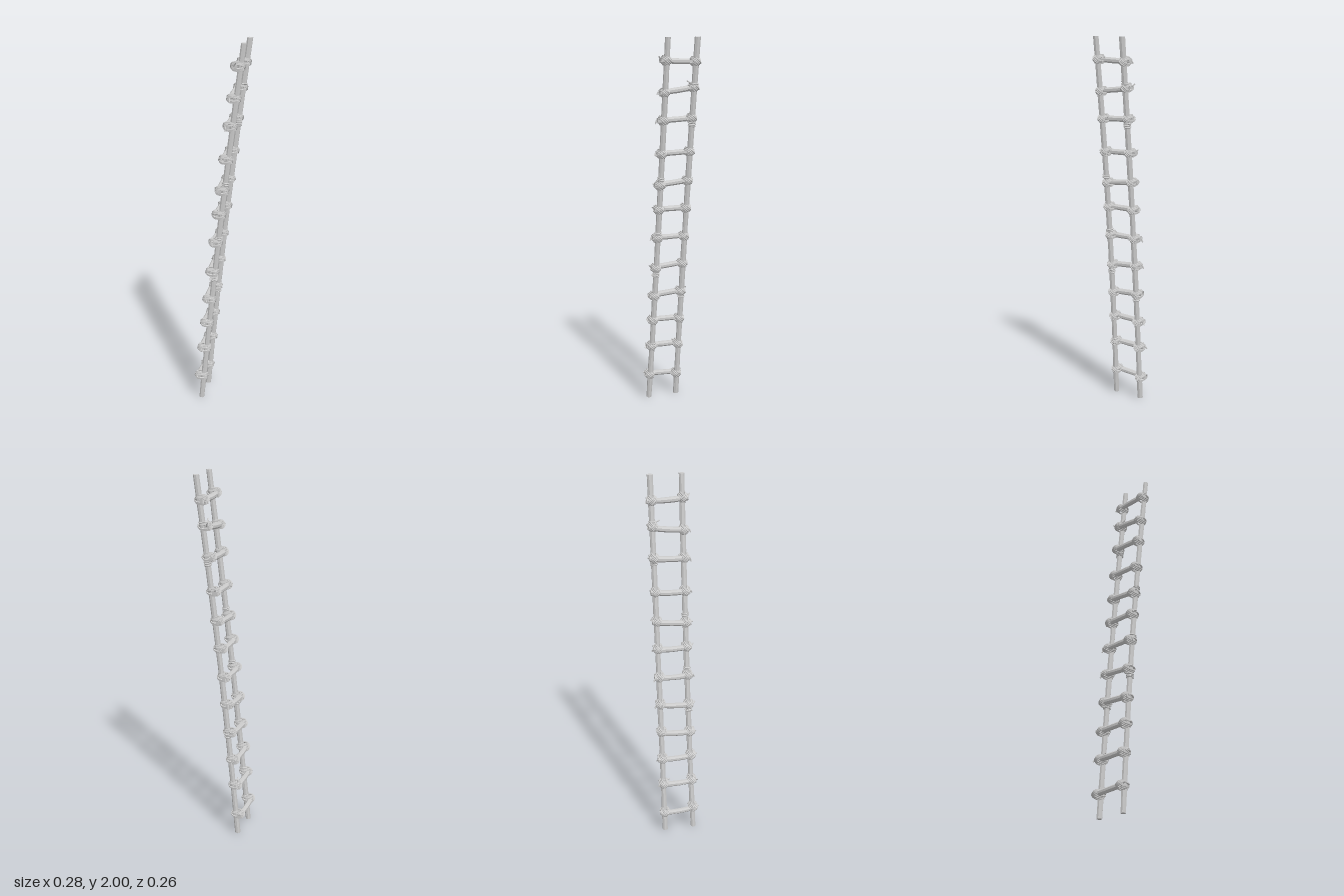
import * as THREE from 'three';

const mat = new THREE.MeshStandardMaterial({ color: 0xcccccc, flatShading: true, side: THREE.DoubleSide });

// Seeded wobble so that every pole and lashing is slightly irregular
let seed = 7;
const rnd = (a) => {
  seed = (seed * 16807) % 2147483647;
  return (seed / 2147483647 * 2 - 1) * a;
};

// Centre line of the leaning rails: x for both, z for the left (+1) and right (-1) one
const railX = (y) => -0.103 + 0.22 * (y / 2) - 0.012 * Math.sin(Math.PI * y / 2);
const railZ = (y, side) => {
  const t = y / 2;
  return side > 0 ? 0.069 + 0.03 * (1 - t) ** 2.2 : -0.064 - 0.029 * t;
};

function mesh(name, geometry) {
  const m = new THREE.Mesh(geometry, mat);
  m.name = name;
  return m;
}

// Rough eight-sided pole following path(t), t from 0 to 1, along the y or z axis
function pole(name, path, radius, segments, alongZ) {
  const g = new THREE.CylinderGeometry(1, 1, 1, 8, segments, false, Math.PI / 8);
  if (alongZ) g.rotateX(Math.PI / 2);
  const sizes = Array.from({ length: segments + 1 }, () => radius * (1 + rnd(0.07)));
  const p = g.attributes.position;
  for (let i = 0; i < p.count; i++) {
    const t = (alongZ ? p.getZ(i) : p.getY(i)) + 0.5;
    const c = path(t), r = sizes[Math.round(t * segments)];
    if (alongZ) p.setXYZ(i, c.x + p.getX(i) * r, c.y + p.getY(i) * r, c.z);
    else p.setXYZ(i, c.x + p.getX(i) * r, c.y, c.z + p.getZ(i) * r);
  }
  g.computeVertexNormals();
  return mesh(name, g);
}

function rope(name, points, radius, closed) {
  const curve = new THREE.CatmullRomCurve3(points, closed);
  return mesh(name, new THREE.TubeGeometry(curve, closed ? 20 : 5, radius, 5, closed));
}

// Crossed diagonal turns of rope binding a rung to a rail
function lashing(y, side) {
  const group = new THREE.Group();
  group.name = 'lashing';
  const cx = railX(y) - 0.014, cz = railZ(y, side);
  for (const slant of [-1, 1]) {
    for (const shift of [-0.0075, 0, 0.0075]) {
      const points = [], spread = 0.021 + rnd(0.0015);
      const half = 0.032 + rnd(0.0015) + (slant > 0 ? 0.002 : 0);
      for (let i = 0; i < 12; i++) {
        const a = i / 12 * Math.PI * 2;
        const c = Math.cos(a), s = Math.sin(a);
        const u = Math.sign(c) * Math.abs(c) ** 0.7 * half;
        const v = Math.sign(s) * Math.abs(s) ** 0.8 * spread;
        points.push(new THREE.Vector3(cx + u, y + (v + shift) * 0.75, cz + slant * (v - shift) * 0.8));
      }
      group.add(rope('diagonalTurn', points, 0.0045, true));
    }
  }
  // Loose end of the rope
  const end = new THREE.Vector3(cx - 0.012 + rnd(0.012), y + rnd(0.02), cz + side * 0.034);
  group.add(rope('ropeEnd', [
    new THREE.Vector3(cx - 0.01, y, cz + side * 0.014),
    new THREE.Vector3(cx - 0.016, y + 0.006, cz + side * 0.024), end], 0.0038, false));
  return group;
}

// Turns of rope round a rail alone
function railWrap(y, side, turns) {
  const group = new THREE.Group();
  group.name = 'railWrap';
  for (let i = 0; i < turns; i++) {
    const h = y + i * 0.009;
    const g = new THREE.TorusGeometry(0.017, 0.0042, 5, 10).rotateX(Math.PI / 2 + rnd(0.2)).rotateZ(-0.11);
    const m = mesh('wrapTurn', g);
    m.position.set(railX(h), h, railZ(h, side));
    group.add(m);
  }
  return group;
}

export function createModel() {
  const ladder = new THREE.Group();
  ladder.name = 'lashedLadder';

  // Two leaning rails
  for (const side of [1, -1]) {
    ladder.add(pole(side > 0 ? 'leftRail' : 'rightRail',
      (t) => new THREE.Vector3(railX(2 * t), 2 * t, railZ(2 * t, side)), 0.0148, 14, false));
  }

  // Rungs, each given by its height at the left and right rail
  const rungs = [[0.138, 0.122], [0.31, 0.304], [0.465, 0.458], [0.608, 0.62], [0.77, 0.784], [0.941, 0.939],
    [1.1, 1.098], [1.233, 1.25], [1.403, 1.407], [1.578, 1.585], [1.722, 1.745], [1.885, 1.877]];
  for (const [yl, yr] of rungs) {
    const y = (yl + yr) / 2;
    const z0 = railZ(y, -1) - 0.025 + rnd(0.004), z1 = railZ(y, 1) + 0.023 + rnd(0.004);
    ladder.add(pole('rung', (t) => new THREE.Vector3(
      railX(y) - 0.028 - 0.005 * Math.sin(Math.PI * t),
      yr + (yl - yr) * t - 0.003 * Math.sin(Math.PI * t),
      z0 + (z1 - z0) * t), 0.0148, 6, true));
    ladder.add(lashing(yl, 1), lashing(yr, -1));
  }

  // Extra rope turns above or below some joints
  for (const [y, side, turns] of [[1.265, 1, 2], [0.965, 1, 2], [0.725, 1, 3], [0.33, 1, 1],
    [1.545, -1, 3], [1.765, -1, 1], [0.59, -1, 1]]) {
    ladder.add(railWrap(y, side, turns));
  }

  // Long stray rope tails
  for (const [y, side, dz, dy] of [[1.765, -1, 0.035, 0.012], [0.735, 1, 0.02, -0.008], [0.32, -1, 0.035, 0.01]]) {
    const x = railX(y), z = railZ(y, side);
    ladder.add(rope('strayTail', [
      new THREE.Vector3(x - 0.016, y, z - 0.01),
      new THREE.Vector3(x - 0.02, y + dy * 0.3, z + dz * 0.5),
      new THREE.Vector3(x - 0.018, y + dy, z + dz)], 0.0038, false));
  }
  return ladder;
}
